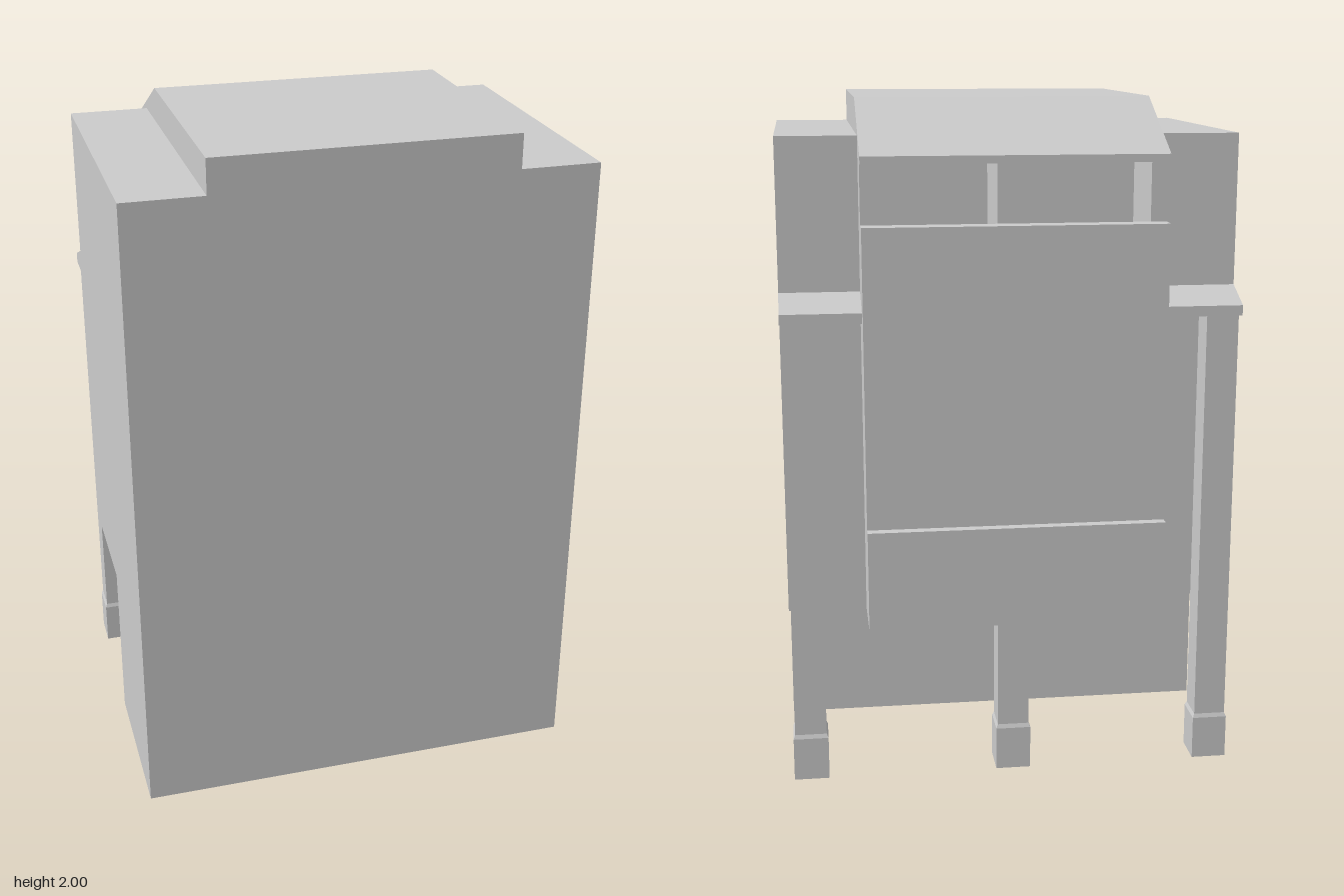
import * as THREE from 'three';

const material = new THREE.MeshStandardMaterial({ color: 0xcccccc, flatShading: true });

function add(parent, name, geometry, x = 0, y = 0, z = 0) {
  const mesh = new THREE.Mesh(geometry, material);
  mesh.name = name;
  mesh.position.set(x, y, z);
  parent.add(mesh);
  return mesh;
}

// Side profile given as [z, y] points, extruded across x from x0 to x1
function slab(parent, name, x0, x1, points) {
  const shape = new THREE.Shape(points.map(([z, y]) => new THREE.Vector2(z, y)));
  const geometry = new THREE.ExtrudeGeometry(shape, { depth: x1 - x0, bevelEnabled: false });
  geometry.rotateY(-Math.PI / 2);
  return add(parent, name, geometry, x1);
}

// Square post with a wider foot and a short tapered collar
function post(parent, name, x, top) {
  const group = new THREE.Group();
  group.name = name;
  group.position.set(x, 0, -0.395);
  add(group, 'shaft', new THREE.BoxGeometry(0.094, top - 0.13, 0.094), 0, (top + 0.13) / 2, 0);
  add(group, 'foot', new THREE.BoxGeometry(0.104, 0.13, 0.104), 0, 0.065, 0);
  const collar = new THREE.CylinderGeometry(0.047 * Math.SQRT2, 0.052 * Math.SQRT2, 0.012, 4);
  collar.rotateY(Math.PI / 4);
  add(group, 'collar', collar, 0, 0.136, 0);
  parent.add(group);
}

export function createModel() {
  const model = new THREE.Group();
  model.name = 'building';
  const half = 0.665, mid = 0.433;
  const front = 0.545, back = -0.347, recess = -0.215, wall = -0.45;

  // Central bay: base, overhanging back with stepped wall, balcony recess and sloped roof
  slab(model, 'centralBay', -mid, mid, [
    [front, 0], [front, 2], [-0.19, 2],
    [-0.49, 1.852], [-0.49, 1.83], [recess, 1.83],
    [recess, 1.4], [wall, 1.4], [wall, 1.66],
    [-0.51, 1.66], [-0.51, 0.795], [-0.54, 0.795],
    [-0.54, 0.5], [0.047, 0.5], [0.047, 0],
  ]);

  // Partitions dividing the recess into two openings
  const depth = recess - wall;
  for (const [name, x, width] of [
    ['leftRecessWall', mid - 0.0225, 0.045],
    ['recessDivider', 0, 0.1],
    ['rightRecessWall', -mid + 0.0225, 0.045],
  ]) {
    add(model, name, new THREE.BoxGeometry(width, 0.43, depth), x, 1.615, (recess + wall) / 2);
  }

  // Lower side wings, each with a small sloped canopy over a corner post
  for (const [side, s] of [['left', 1], ['right', -1]]) {
    const x0 = s > 0 ? mid : -half;
    const x1 = s > 0 ? half : -mid;
    slab(model, side + 'Wing', x0, x1, [
      [front, 0], [front, 1.9], [back, 1.9], [back, 0.5], [0.047, 0.5], [0.047, 0],
    ]);
    slab(model, side + 'Canopy', x0, x1, [
      [back, 1.46], [-0.453, 1.415], [-0.453, 1.385], [back, 1.385],
    ]);
    post(model, side + 'Post', s * 0.61, 1.385);
  }

  // Short post carrying the middle of the overhang
  post(model, 'middlePost', 0, 0.5);

  return model;
}
